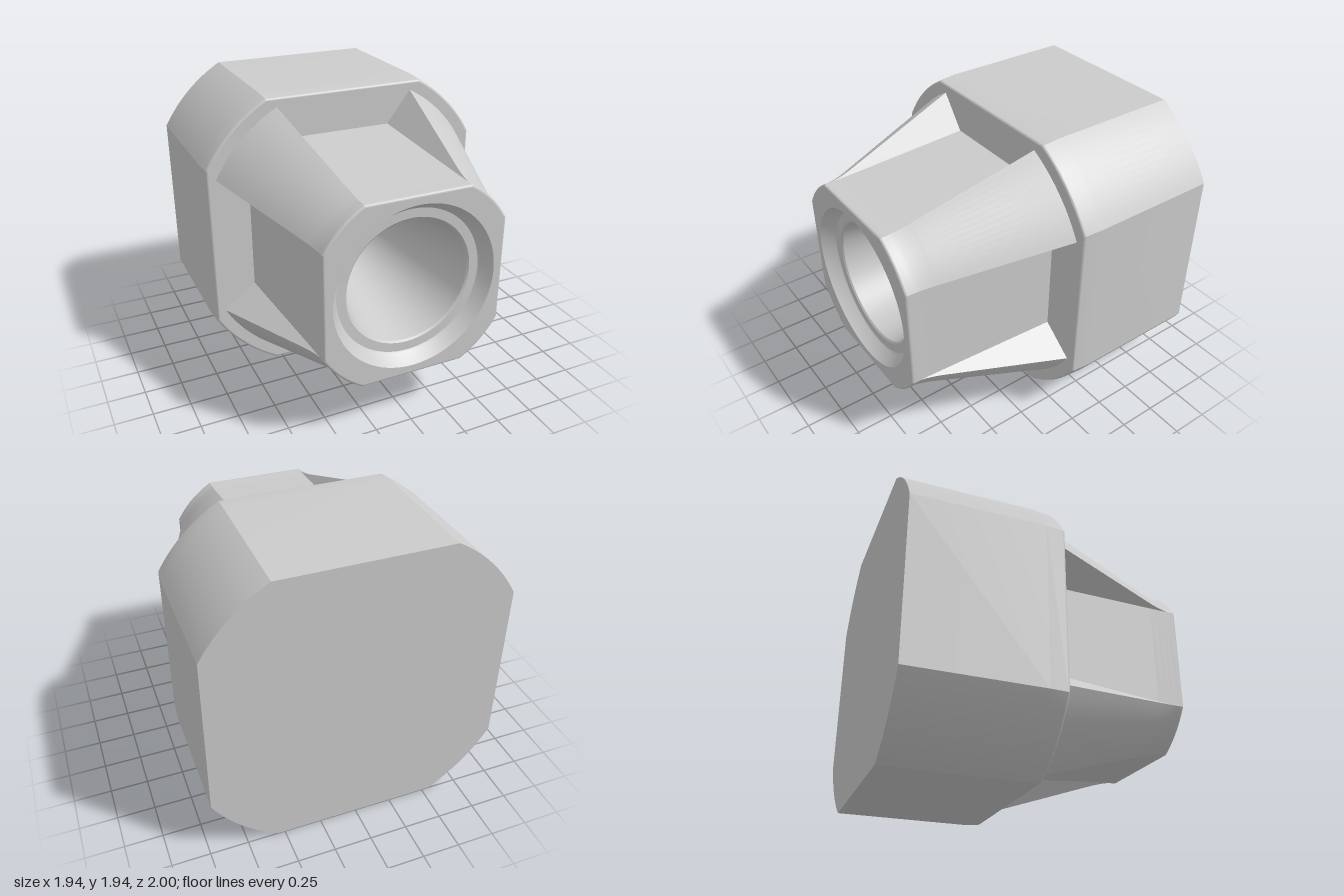
import * as THREE from 'three';
import { toCreasedNormals } from 'three/addons/utils/BufferGeometryUtils.js';

const CENTRE_Y = 0.97;
const ARC = 14;

// Cross-section with four flats (distance h, half width w) and four corner
// ridges: each ridge starts at half width a and is an arc of radius R.
function section({ h, w, a, R }) {
  const quarter = [new THREE.Vector2(h, w)];
  const start = Math.asin(a / R);
  const sweep = Math.PI / 2 - 2 * start;
  for (let i = 0; i <= ARC; i++) {
    const t = start + (sweep * i) / ARC;
    quarter.push(new THREE.Vector2(R * Math.cos(t), R * Math.sin(t)));
  }
  quarter.push(new THREE.Vector2(w, h));
  const points = [];
  for (let k = 0; k < 4; k++) {
    for (const p of quarter) {
      points.push(p.clone().rotateAround(new THREE.Vector2(), (k * Math.PI) / 2));
    }
  }
  return points;
}

// Skin between sections ordered from back to front.
function loft(stations) {
  const loops = stations.map((s) => section(s));
  const n = loops[0].length;
  const positions = [];
  const index = [];
  loops.forEach((loop, i) => loop.forEach((p) => positions.push(p.x, p.y, stations[i].z)));
  for (let i = 0; i < loops.length - 1; i++) {
    for (let j = 0; j < n; j++) {
      const a = i * n + j;
      const b = i * n + ((j + 1) % n);
      index.push(a, b, b + n, a, b + n, a + n);
    }
  }
  const geometry = new THREE.BufferGeometry();
  geometry.setAttribute('position', new THREE.Float32BufferAttribute(positions, 3));
  geometry.setIndex(index);
  return toCreasedNormals(geometry, 0.42);
}

// Section of the main block, pulled in by d
function blockStation(z, d) {
  const h = 0.97 - d;
  const R = 1.115 - d;
  const w = Math.sqrt(R * R - h * h);
  return { z, h, w, a: w, R };
}

// Section of the neck: t = 0 at the nose, 1 where it meets the block
function neckStation(z, t, d = 0) {
  const mix = THREE.MathUtils.lerp;
  const h = mix(0.605, 0.685, t) - d;
  const R = mix(0.699, 1.017, t) - d;
  const a = t === 0 ? Math.sqrt(R * R - h * h) : mix(0.35, 0.475, t);
  return { z, h, w: t === 0 ? a : mix(0.35, 0.31, t), a, R };
}

// Quarter-round edge that ends at z = zEnd
function roundedEdge(zEnd, radius, make) {
  const out = [];
  for (let i = 0; i <= 4; i++) {
    const t = (i / 4) * (Math.PI / 2);
    out.push(make(zEnd - radius + radius * Math.sin(t), radius * (1 - Math.cos(t))));
  }
  return out;
}

export function createModel() {
  const group = new THREE.Group();
  const material = new THREE.MeshStandardMaterial({ color: 0xcccccc });
  const add = (name, geometry) => {
    const mesh = new THREE.Mesh(geometry, material);
    mesh.name = name;
    mesh.position.y = CENTRE_Y;
    group.add(mesh);
  };

  // Main block: slightly tapered lead-in, then a rounded front edge
  const block = [
    blockStation(-1, 0),
    blockStation(-0.13, 0),
    ...roundedEdge(0, 0.015, (z, d) => blockStation(z, 0.01 + d)),
  ];
  add('blockSides', loft(block));
  add('blockBack', new THREE.ShapeGeometry(new THREE.Shape(section(block[0]))).rotateY(Math.PI).translate(0, 0, -1));
  // The front of the block also closes the bottom of the bore
  add('blockFront', new THREE.ShapeGeometry(new THREE.Shape(section(block[block.length - 1]))));

  // Neck: four flared corner ridges with flat panels between them
  const neck = [
    neckStation(0, 1),
    neckStation(0.8, 0.112),
    neckStation(0.85, 0.063),
    neckStation(0.9, 0.023),
    neckStation(0.94, 0),
    ...roundedEdge(1, 0.015, (z, d) => neckStation(z, 0, d)),
  ];
  add('neckSides', loft(neck));

  // Nose face around the opening
  const nose = new THREE.Shape(section(neck[neck.length - 1]));
  nose.holes.push(new THREE.Path().absarc(0, 0, 0.545, 0, Math.PI * 2, true));
  add('noseFace', new THREE.ShapeGeometry(nose, 48).translate(0, 0, 1));

  // Bore: sloped rim, flat ledge, then a deep tapering hole
  const profile = [
    [0.545, 1], [0.495, 0.92], [0.485, 0.912], [0.425, 0.91], [0.413, 0.9], [0.25, 0],
  ].map(([r, y]) => new THREE.Vector2(r, y));
  const bore = new THREE.LatheGeometry(profile, 96).rotateX(Math.PI / 2);
  add('bore', toCreasedNormals(bore, 0.42));

  return group;
}
